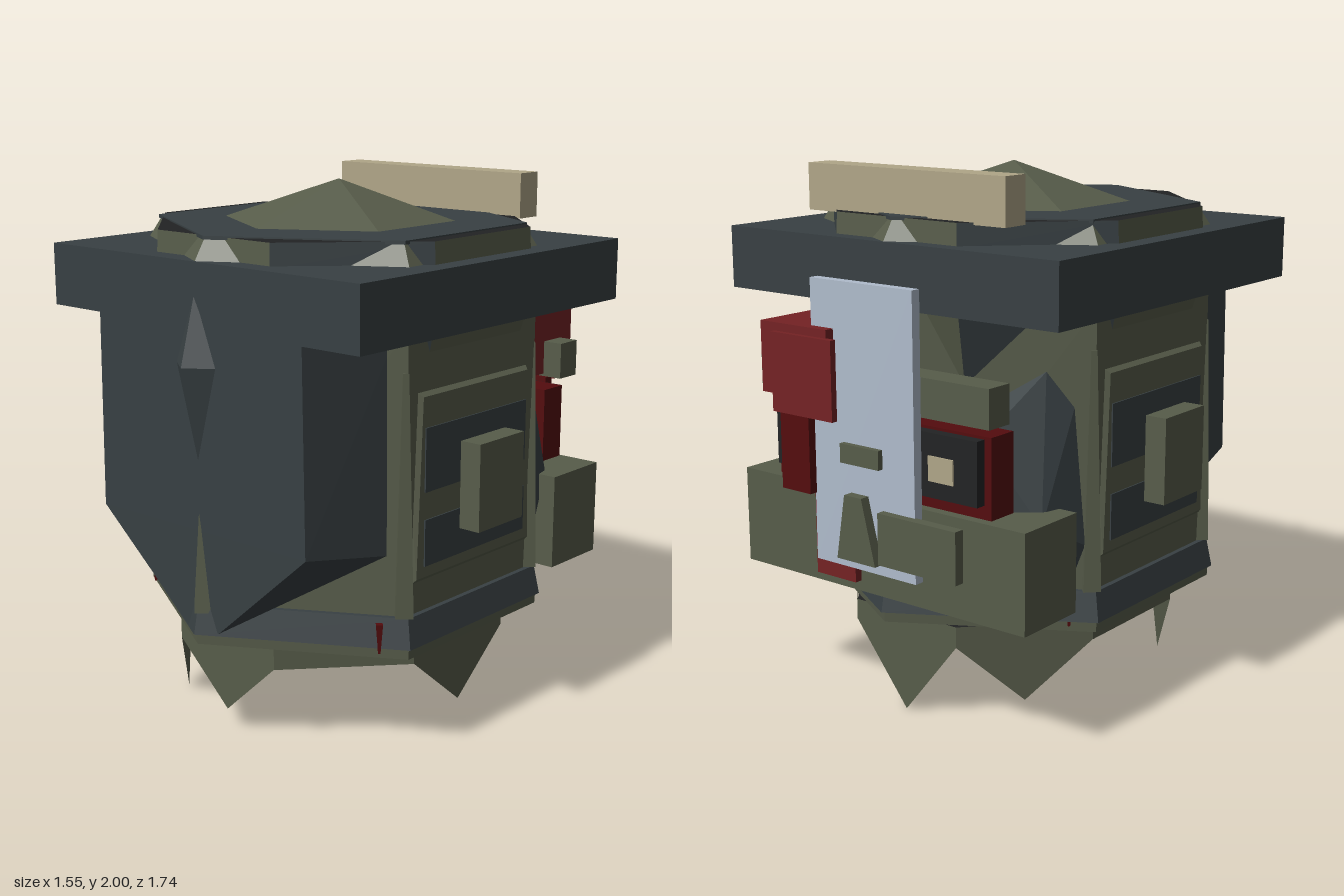
import * as THREE from 'three';
import { ConvexGeometry } from 'three/addons/geometries/ConvexGeometry.js';

const mat = (name, color, extra = {}) => Object.assign(new THREE.MeshStandardMaterial({ color, ...extra }), { name });

export function createModel() {
  const slate = mat('slate', 0x384043);
  const olive = mat('olive', 0x575c4a, { side: THREE.DoubleSide });
  const black = mat('black', 0x222324);
  const tan = mat('tan', 0xb0a688);
  const red = mat('red', 0x742224);
  const darkRed = mat('darkRed', 0x540c0e);
  const steel = mat('steel', 0xb0bccc);
  const CZ = 0.055; // axis of the turret body

  const model = new THREE.Group();
  model.name = 'armouredHead';

  function add(name, geometry, material) {
    const g = geometry.index ? geometry.toNonIndexed() : geometry;
    g.computeVertexNormals();
    const mesh = new THREE.Mesh(g, material);
    mesh.name = name;
    model.add(mesh);
    return mesh;
  }
  // box given by its limits on each axis
  function box(name, m, x0, x1, y0, y1, z0, z1) {
    const g = new THREE.BoxGeometry(x1 - x0, y1 - y0, z1 - z0);
    g.translate((x0 + x1) / 2, (y0 + y1) / 2, (z0 + z1) / 2);
    return add(name, g, m);
  }
  function hull(name, m, pts) {
    return add(name, new ConvexGeometry(pts.map(p => new THREE.Vector3(...p))), m);
  }
  // upright prism with a corner facing the front
  function hex(name, m, y0, y1, r0, r1) {
    const g = new THREE.CylinderGeometry(r1, r0, y1 - y0, 6);
    g.translate(0, (y0 + y1) / 2, CZ);
    return add(name, g, m);
  }
  // eight-sided prism: slate diagonals, olive flats, black caps
  function oct(name, y0, y1, r0, r1) {
    const g = new THREE.CylinderGeometry(r1, r0, y1 - y0, 8, 1, false, Math.PI / 8);
    g.clearGroups();
    for (let i = 0; i < 8; i++) g.addGroup(i * 6, 6, i % 2);
    g.addGroup(48, 48, 2);
    g.translate(0, (y0 + y1) / 2, 0.045);
    return add(name, g, [slate, olive, black]);
  }

  // body
  hex('baseRim', olive, 0.38, 0.42, 0.768, 0.77);
  hex('baseBand', slate, 0.42, 0.53, 0.785, 0.762);
  hex('body', olive, 0.53, 1.55, 0.74, 0.74);
  oct('collar', 1.27, 1.55, 0.64, 0.72);
  box('brim', slate, -0.75, 0.75, 1.53, 1.76, -0.69, 0.8);

  // lid
  hex('lidCorners', olive, 1.75, 1.834, 0.745, 0.69);
  oct('lidRing', 1.75, 1.838, 0.725, 0.72);
  hex('lidTop', slate, 1.83, 1.843, 0.7, 0.7);
  hex('lidPeak', olive, 1.84, 1.99, 0.445, 0.001);
  box('topBar', tan, -0.45, 0.45, 1.83, 2.0, -0.58, -0.47);

  // skirt with a few hanging spikes
  const skirt = new THREE.CylinderGeometry(0.63, 0.63, 0.08, 8, 1, true, Math.PI / 8);
  skirt.scale(1, 1, 1.1);
  skirt.translate(0, 0.34, 0.04);
  add('skirt', skirt, olive);
  const floor = new THREE.CylinderGeometry(0.628, 0.628, 0.01, 8, 1, false, Math.PI / 8);
  floor.scale(1, 1, 1.1);
  floor.translate(0, 0.306, 0.04);
  add('floor', floor, black);
  // [side number counted from the front towards +x, tip height]
  for (const [side, tip] of [[0, 0.08], [2, 0.08], [4, 0], [5, 0.08], [7, 0]]) {
    const at = (k, y) => {
      const a = side * Math.PI / 4 + k * Math.PI / 8;
      return [0.63 * Math.sin(a), y, 0.04 + 0.693 * Math.cos(a)];
    };
    const a = at(-1, 0.301), b = at(1, 0.301);
    const g = new THREE.BufferGeometry();
    const apex = [(a[0] + b[0]) / 2, tip, (a[2] + b[2]) / 2];
    g.setAttribute('position', new THREE.Float32BufferAttribute([...a, ...apex, ...b], 3));
    add('skirtSpike', g, olive);
  }

  // front visor, crest and chin spike
  const visor = [];
  for (const s of [-1, 1]) {
    visor.push([s * 0.5, 1.54, 0.8], [s * 0.51, 0.8, 0.8], [s * 0.08, 0.43, 0.795],
      [s * 0.58, 1.48, 0.45], [s * 0.55, 1.54, 0.45], [s * 0.58, 0.75, 0.46], [s * 0.08, 0.5, 0.5]);
  }
  hull('visor', slate, visor);
  hull('crest', slate, [[0, 1.64, 0.803], [0.11, 1.4, 0.79], [-0.11, 1.4, 0.79], [0, 1.06, 0.8], [0, 1.4, 0.87]]);
  hull('chinSpike', olive, [[0, 0.87, 0.802], [0.05, 0.5, 0.79], [-0.05, 0.5, 0.79], [0, 0.5, 0.835]]);

  for (const s of [-1, 1]) {
    const side = (name, m, x0, x1, ...r) => box(name, m, Math.min(s * x0, s * x1), Math.max(s * x0, s * x1), ...r);
    // side hatch
    hull('sideHousing', olive, [
      [0.6, 0.6, 0.42], [0.6, 1.36, 0.4], [0.6, 0.6, -0.31], [0.6, 1.36, -0.29],
      [0.657, 0.66, 0.39], [0.657, 1.31, 0.36], [0.657, 0.66, -0.28], [0.657, 1.31, -0.25],
    ].map(([x, y, z]) => [s * x, y, z]));
    side('upperHatch', slate, 0.65, 0.662, 0.97, 1.2, -0.24, 0.35);
    side('lowerHatch', slate, 0.65, 0.662, 0.7, 0.87, -0.24, 0.35);
    side('hatchBlock', olive, 0.69, 0.775, 0.81, 1.13, -0.07, 0.19);

    // corner ribs
    for (const z of [0.425, -0.315]) {
      const rib = new THREE.CylinderGeometry(0.015, 0.045, 0.87, 4);
      rib.translate(s * 0.63, 0.965, z);
      add('cornerRib', rib, olive);
    }
    // small pins in the base band
    for (const z of [0.5, -0.38]) {
      const pin = new THREE.CylinderGeometry(0.017, 0.006, 0.11, 4);
      pin.translate(s * 0.582, 0.455, z);
      add('bandPin', pin, darkRed);
    }
    // rear cheek plates
    hull('rearCheek', slate, [
      [0.52, 1.33, -0.44], [0.59, 1.2, -0.37], [0.62, 0.7, -0.34], [0.58, 0.56, -0.37], [0.57, 0.8, -0.53],
      [0.36, 0.8, -0.67], [0.38, 1.1, -0.62], [0.2, 0.56, -0.58], [0.25, 1.15, -0.55],
    ].map(([x, y, z]) => [s * x, y, z]));
    side('lampPlate', tan, 0.26, 0.37, 0.97, 1.06, -0.766, -0.758);
  }

  // rear pack
  box('rearBelt', olive, -0.66, 0.66, 0.49, 0.855, -0.745, -0.45);
  box('rearBar', olive, -0.53, 0.53, 1.19, 1.33, -0.77, -0.66);
  box('lampBacking', darkRed, -0.5, 0.5, 0.86, 1.15, -0.72, -0.6);
  box('lampHousing', black, -0.47, 0.47, 0.91, 1.14, -0.76, -0.7);
  box('steelSlab', steel, -0.235, 0.235, 0.6, 1.63, -0.808, -0.77);
  box('redRail', red, 0.08, 0.27, 0.53, 1.2, -0.775, -0.74);
  box('redBox', red, 0.13, 0.45, 1.2, 1.46, -0.845, -0.56);
  box('redPlate', red, 0.09, 0.38, 1.14, 1.43, -0.865, -0.84);
  box('redGrip', darkRed, 0.23, 0.37, 0.85, 1.15, -0.84, -0.795);
  box('slabTag', olive, -0.09, 0.09, 0.99, 1.06, -0.83, -0.8);
  box('slabBracket', olive, -0.44, -0.09, 0.65, 0.84, -0.84, -0.8);
  hull('slabWedge', olive, [-0.8, -0.846].flatMap(z => [
    [-0.08, 0.64, z], [0.1, 0.64, z], [-0.02, 0.88, z], [0.06, 0.88, z]]));

  return model;
}
